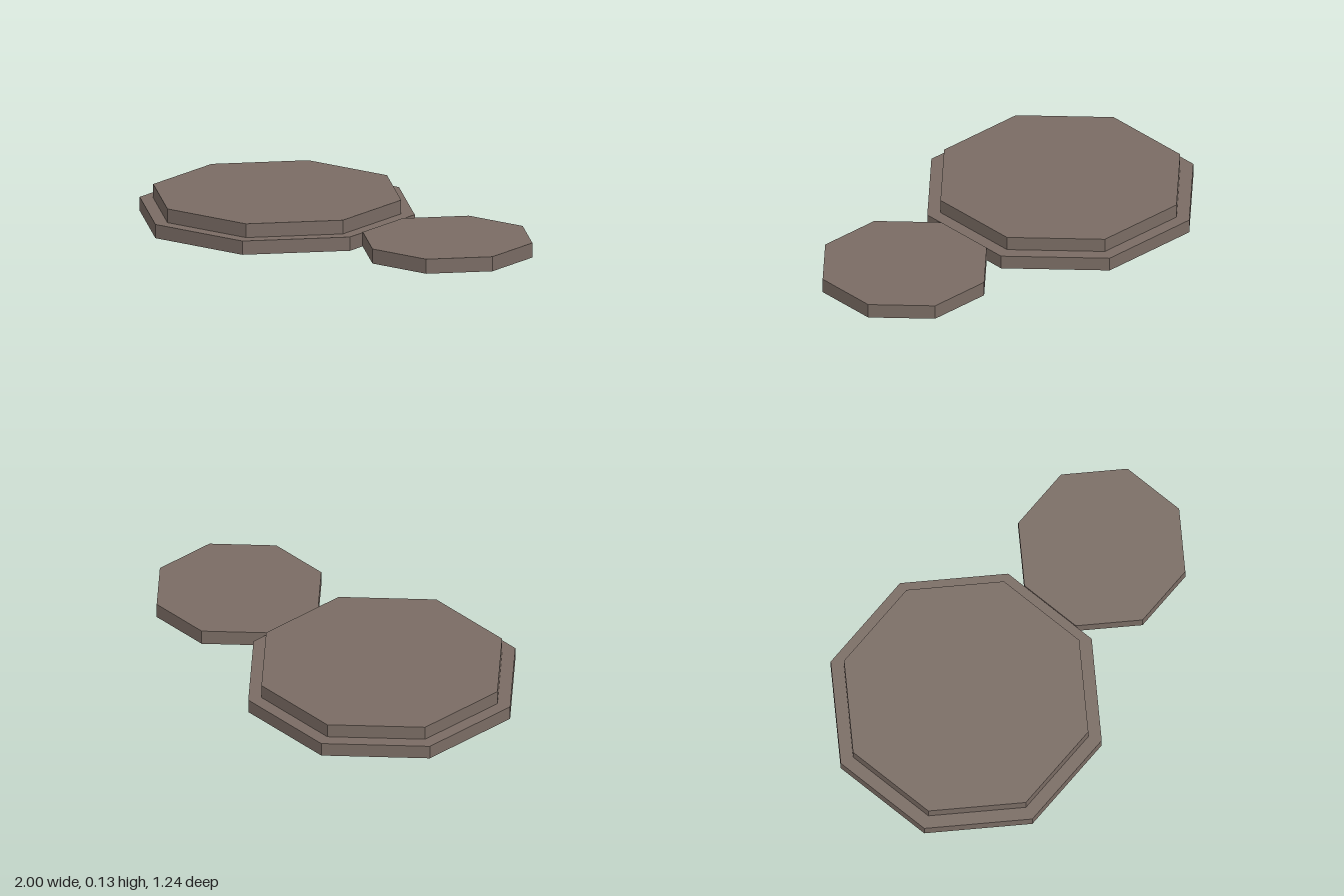
import * as THREE from 'three';

export function createModel() {
  const group = new THREE.Group();
  const stone = new THREE.MeshStandardMaterial({ color: 0x7a6c64, flatShading: true });
  stone.name = 'warm grey stone';

  // Octagonal slab with its flat sides facing the axes
  function slab(name, halfWidth, x, bottom, height) {
    const geometry = new THREE.CylinderGeometry(
      halfWidth / Math.cos(Math.PI / 8), halfWidth / Math.cos(Math.PI / 8), height, 8);
    geometry.rotateY(Math.PI / 8);
    const mesh = new THREE.Mesh(geometry, stone);
    mesh.name = name;
    mesh.position.set(x, bottom + height / 2, 0);
    group.add(mesh);
  }

  // Large stepped platform
  slab('platformBase', 0.618, -0.382, 0, 0.067);
  slab('platformTop', 0.557, -0.382, 0.067, 0.067);

  // Small low step beside it
  slab('sideStep', 0.381, 0.619, 0, 0.071);

  return group;
}
